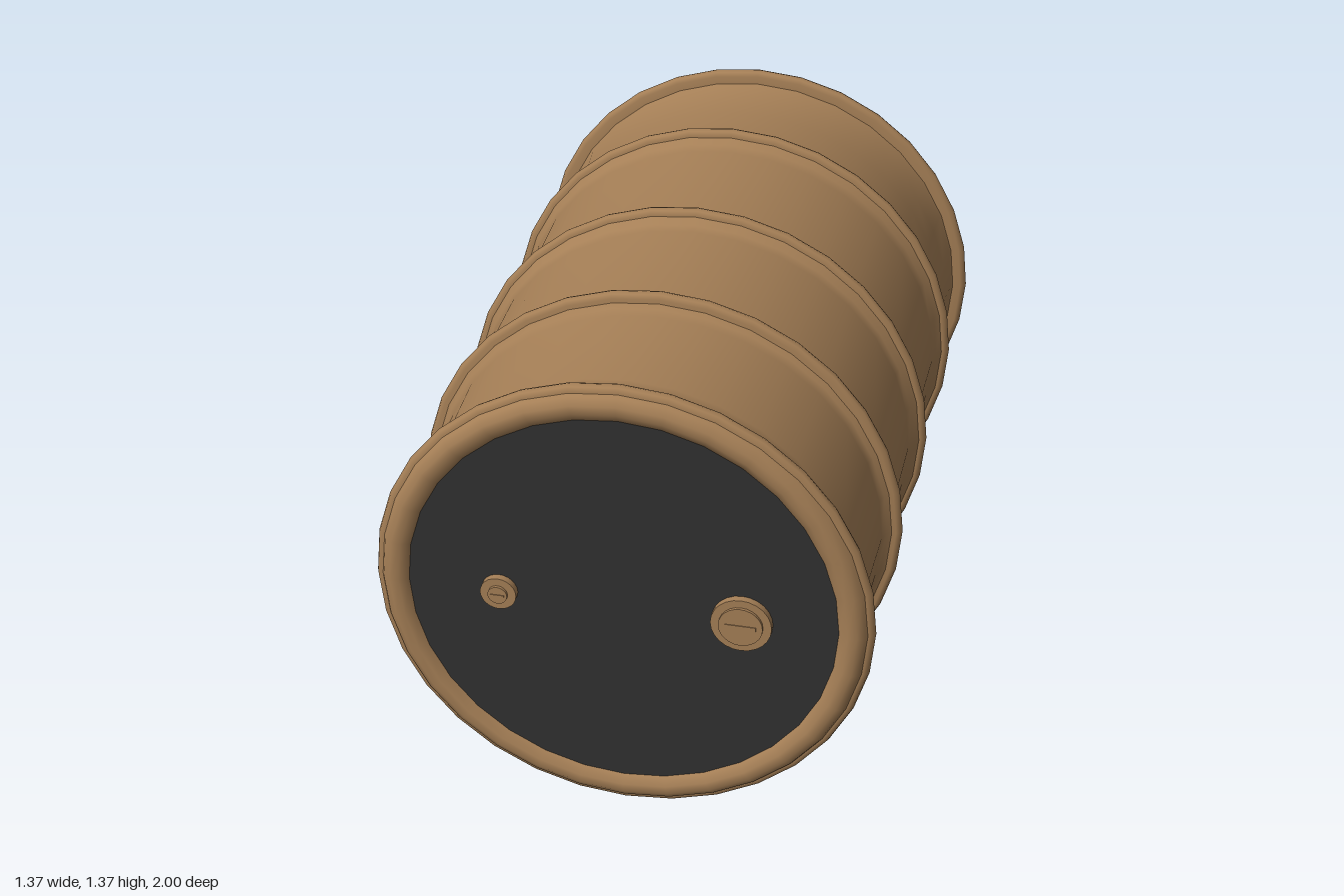
import * as THREE from 'three';

export function createModel() {
  const model = new THREE.Group();
  const brown = new THREE.MeshStandardMaterial({ color: 0xa57f56 });
  brown.name = 'brown drum';
  const black = new THREE.MeshStandardMaterial({ color: 0x303030 });
  black.name = 'black lid';

  const CY = 0.685;   // height of the drum axis
  const SIDES = 32;

  const add = (name, geometry, material, x = 0, y = CY, z = 0) => {
    const mesh = new THREE.Mesh(geometry, material);
    mesh.name = name;
    mesh.position.set(x, y, z);
    model.add(mesh);
    return mesh;
  };

  // Turned part around the z axis, from [radius, z] pairs running back to front
  const turned = (name, profile, material = brown) => {
    const points = profile.map(([r, z]) => new THREE.Vector2(r, z));
    return add(name, new THREE.LatheGeometry(points, SIDES).rotateX(Math.PI / 2), material);
  };

  // Flat back and its rounded edge
  turned('backCap', [[0, -1], [0.6, -1]]);
  turned('backEdge', [[0.6, -1], [0.635, -0.985], [0.65, -0.96], [0.66, -0.92]]);

  // Slightly waisted wall panels that flare out to the ribs
  const panels = [
    [[0.66, -0.905], [0.64, -0.885], [0.632, -0.8], [0.628, -0.72], [0.641, -0.55], [0.652, -0.52], [0.67, -0.505]],
    [[0.67, -0.49], [0.65, -0.46], [0.643, -0.43], [0.637, -0.06], [0.652, -0.03], [0.67, -0.01]],
    [[0.67, 0.01], [0.65, 0.04], [0.641, 0.06], [0.64, 0.42], [0.652, 0.45], [0.67, 0.465]],
    [[0.67, 0.48], [0.645, 0.5], [0.634, 0.52], [0.626, 0.83], [0.64, 0.88], [0.655, 0.92], [0.67, 0.935]],
  ];
  panels.forEach((profile) => turned('wallPanel', profile));

  // Raised hoops
  [-0.908, -0.498, 0, 0.473, 0.945].forEach((z) => turned('hoop', [
    [0.64, z - 0.018], [0.669, z - 0.017], [0.681, z - 0.011], [0.685, z],
    [0.681, z + 0.011], [0.669, z + 0.017], [0.64, z + 0.018],
  ]));

  // Rolled front rim and the lid set into it
  turned('frontRim', [[0.672, 0.95], [0.66, 0.972], [0.64, 0.985], [0.615, 0.985], [0.59, 0.97], [0.585, 0.95]]);
  add('lid', new THREE.CircleGeometry(0.595, 64), black, 0, CY, 0.968);

  // Large and small screw plugs
  const plug = (name, x, radius, inner) => {
    const disc = (r, depth) => new THREE.CylinderGeometry(r, r, depth, 24).rotateX(Math.PI / 2);
    add(name, disc(radius, 0.03), brown, x, CY, 0.973);
    add(name + 'Cap', disc(inner, 0.012), brown, x, CY, 0.99);
    add(name + 'Grip', new THREE.BoxGeometry(inner * 1.4, inner * 0.2, 0.006), brown, x, CY, 0.995);
  };
  plug('largePlug', 0.33, 0.083, 0.06);
  plug('smallPlug', -0.335, 0.05, 0.027);

  // Stepped slats under the belly
  [
    [0.125, 0.16, 0.4],
    [0.088, 0.112, 0.335],
    [0.06, 0.08, 0.28],
    [0.036, 0.05, 0.21],
  ].forEach(([y0, y1, half]) =>
    add('bellySlat', new THREE.BoxGeometry(half * 2, y1 - y0, 0.295), brown, 0, (y0 + y1) / 2, 0.28));

  return model;
}
